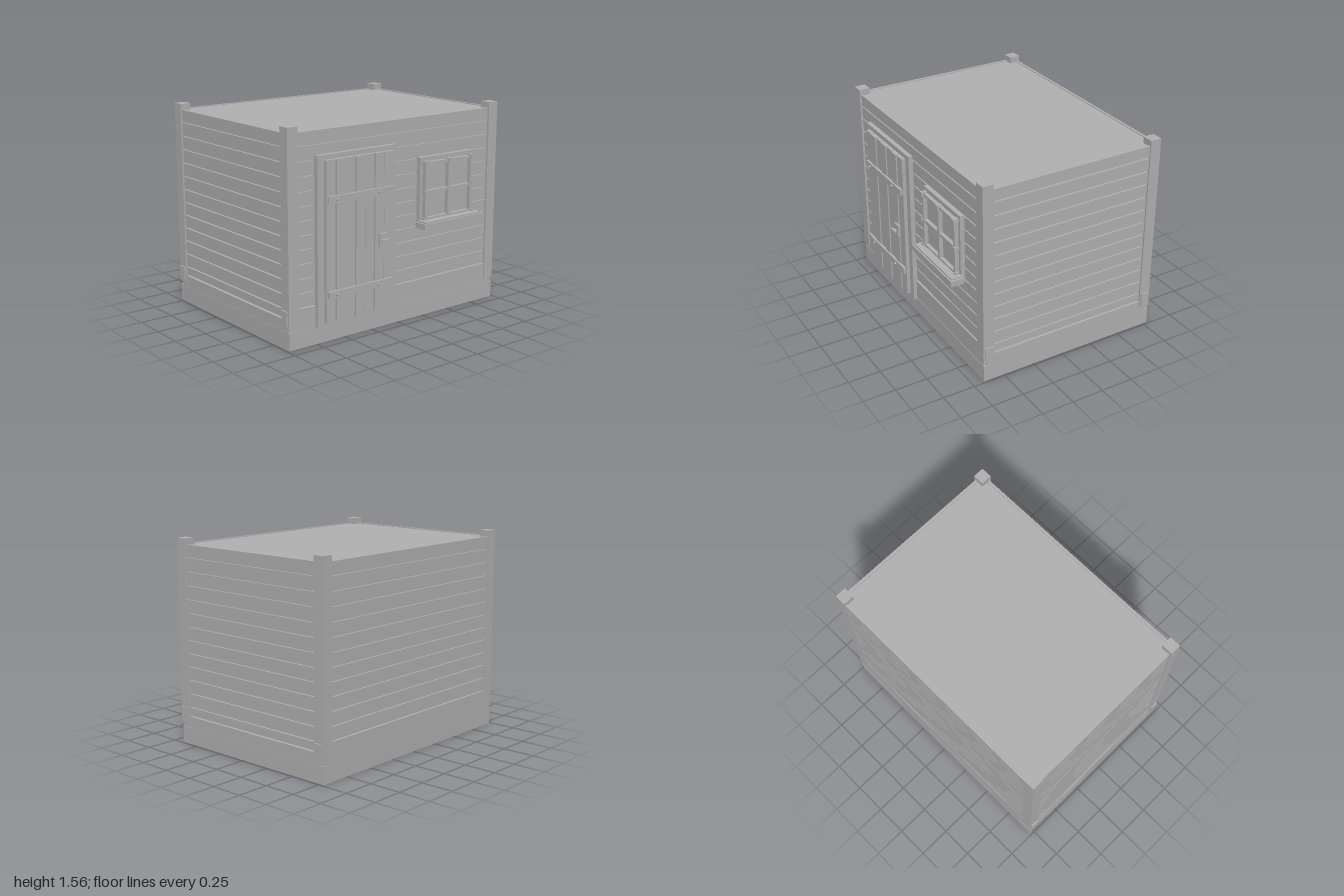
import * as THREE from 'three';

export function createModel() {
  const model = new THREE.Group();
  model.name = 'shed';
  const grey = new THREE.MeshStandardMaterial({ color: 0xb2b2b2 });
  grey.name = 'plain grey';

  const group = (name) => {
    const g = new THREE.Group();
    g.name = name;
    model.add(g);
    return g;
  };
  // Box given by its limits on each axis
  const box = (parent, name, x0, x1, y0, y1, z0, z1) => {
    const m = new THREE.Mesh(new THREE.BoxGeometry(x1 - x0, y1 - y0, z1 - z0), grey);
    m.position.set((x0 + x1) / 2, (y0 + y1) / 2, (z0 + z1) / 2);
    m.name = name;
    parent.add(m);
    return m;
  };

  // Foundation and inner body with the flat roof
  box(model, 'foundation', -0.985, 0.985, 0, 0.13, -0.785, 0.665);
  box(model, 'wallCore', -0.96, 0.96, 0.13, 1.512, -0.765, 0.64);

  // Sill beams: the front and back ones pass through the posts
  const beams = group('sillBeams');
  for (const [z0, z1, out0, out1] of [[0.595, 0.655, 0.6, 0.662], [-0.775, -0.71, -0.783, -0.7]]) {
    box(beams, 'longBeam', -0.975, 0.975, 0.13, 0.285, out0, out1);
    box(beams, 'beamEnds', -1, 1, 0.18, 0.285, z0, z1);
  }
  for (const s of [-1, 1]) {
    const a = s * 0.94, b = s * 0.983;
    box(beams, 'sideBeam', Math.min(a, b), Math.max(a, b), 0.13, 0.215, -0.76, 0.64);
  }

  // Wall boards with narrow grooves between them
  const boards = group('wallBoards');
  const levels = [0.295, 0.4, 0.505, 0.608, 0.71, 0.81, 0.912, 1.015, 1.118, 1.222, 1.325, 1.43, 1.528];
  const gap = 0.01;
  for (let i = 0; i < levels.length - 1; i++) {
    const y0 = levels[i], y1 = levels[i + 1] - gap;
    box(boards, 'frontBoard', -0.94, 0.94, y0, y1, 0.635, 0.655);
    box(boards, 'backBoard', -0.94, 0.94, y0, y1, -0.78, -0.76);
    box(boards, 'leftBoard', 0.955, 0.977, y0, y1, -0.74, 0.62);
    box(boards, 'rightBoard', -0.977, -0.955, y0, y1, -0.74, 0.62);
  }
  box(boards, 'leftLowBoard', 0.955, 0.977, 0.225, 0.285, -0.74, 0.62);
  box(boards, 'rightLowBoard', -0.977, -0.955, 0.225, 0.285, -0.74, 0.62);

  // Corner posts
  const posts = group('cornerPosts');
  for (const x of [-0.945, 0.945])
    for (const z of [-0.743, 0.627])
      box(posts, 'cornerPost', x - 0.044, x + 0.044, 0.16, 1.562, z - 0.043, z + 0.043);

  // Door: frame, upright planks, straps with bolts, handle
  const door = group('door');
  box(door, 'doorFrame', -0.755, -0.045, 0.12, 1.35, 0.63, 0.69);
  const edges = [-0.7, -0.615, -0.528, -0.442, -0.355, -0.268, -0.18, -0.092];
  for (let i = 0; i < 7; i++)
    box(door, 'doorPlank', edges[i], edges[i + 1] - 0.007, 0.155, 1.315, 0.68, i % 2 ? 0.724 : 0.718);
  for (const y of [0.36, 1.04]) {
    box(door, 'doorStrap', -0.692, -0.108, y - 0.025, y + 0.025, 0.71, 0.738);
    for (const x of [-0.62, -0.245]) {
      const bolt = new THREE.Mesh(new THREE.CylinderGeometry(0.01, 0.01, 0.02, 12), grey);
      bolt.rotation.x = Math.PI / 2;
      bolt.position.set(x, y, 0.742);
      bolt.name = 'bolt';
      door.add(bolt);
    }
  }
  box(door, 'handlePlate', -0.237, -0.172, 0.635, 0.73, 0.715, 0.74);
  box(door, 'handleStem', -0.215, -0.195, 0.677, 0.689, 0.735, 0.758);
  box(door, 'handleBar', -0.238, -0.165, 0.675, 0.691, 0.755, 0.77);

  // Window: surround, glazing bars, pegs at the bar ends, stepped sill
  const win = group('window');
  box(win, 'windowSurround', 0.185, 0.715, 0.72, 1.222, 0.63, 0.69);
  for (const x of [0.222, 0.45, 0.678]) {
    box(win, 'uprightBar', x - 0.012, x + 0.012, 0.75, 1.19, 0.685, 0.722);
    box(win, 'topPeg', x - 0.014, x + 0.014, 1.165, 1.197, 0.69, 0.733);
  }
  for (const y of [0.76, 0.965, 1.177]) {
    box(win, 'crossBar', 0.21, 0.69, y - 0.011, y + 0.011, 0.685, 0.718);
    for (const x of [0.212, 0.688])
      box(win, 'sidePeg', x - 0.011, x + 0.011, y - 0.012, y + 0.012, 0.69, 0.73);
  }
  box(win, 'sill', 0.155, 0.745, 0.7, 0.744, 0.68, 0.785);
  box(win, 'sillStep', 0.17, 0.73, 0.74, 0.756, 0.68, 0.773);

  return model;
}
